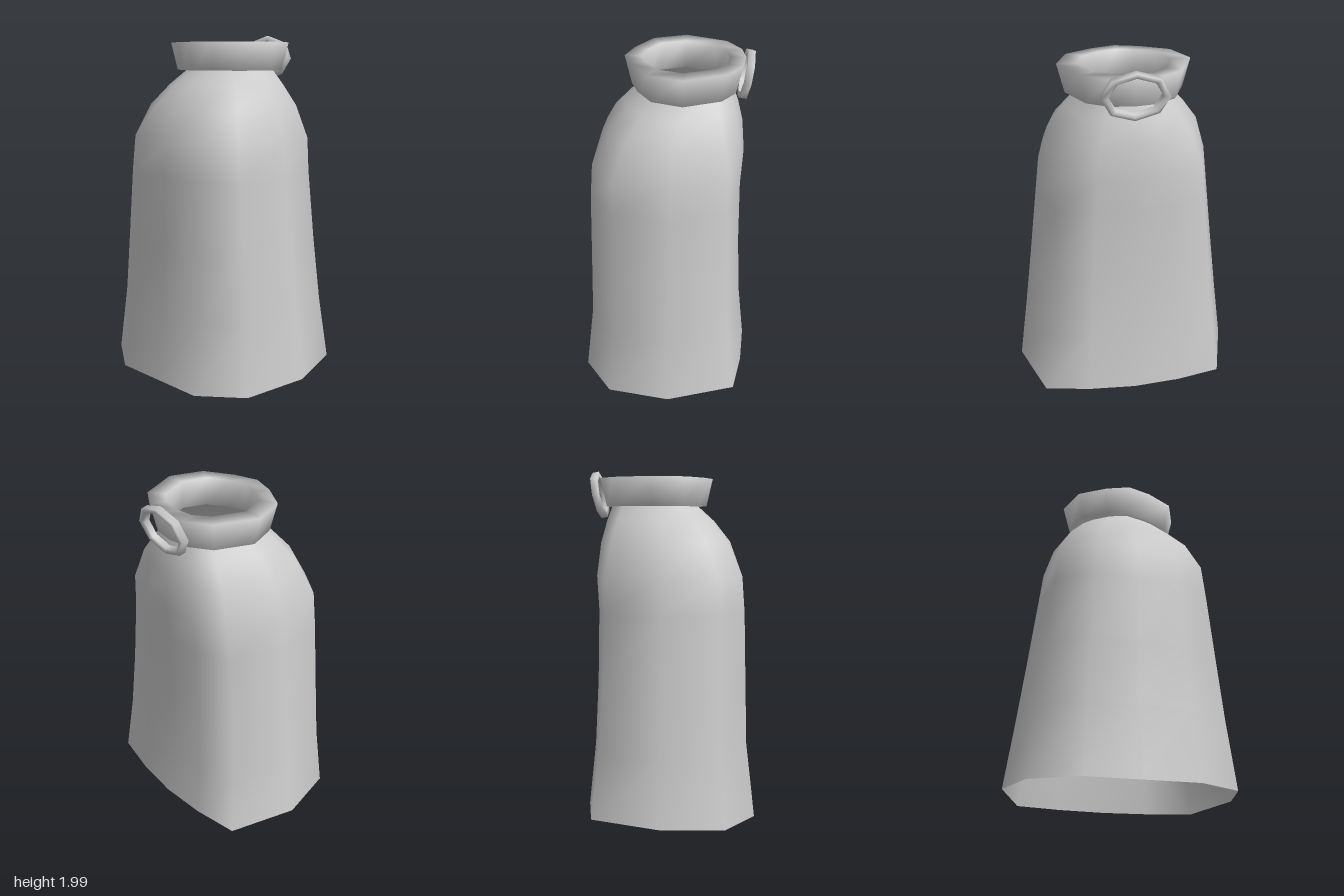
import * as THREE from 'three';

const material = new THREE.MeshStandardMaterial({ color: 0xcccccc, side: THREE.DoubleSide });

// Mirrors half a section (front point to back point) into a full loop.
function mirrorLoop(half) {
  return [...half, ...half.slice(1, -1).reverse().map(([x, z]) => [x, -z])];
}

// Joins equally long rings of [x, y, z] into one smooth surface.
function loft(name, rings, closed = false) {
  const n = rings[0].length;
  const index = [];
  const spans = closed ? rings.length : rings.length - 1;
  for (let r = 0; r < spans; r++) {
    const next = (r + 1) % rings.length;
    for (let i = 0; i < n; i++) {
      const j = (i + 1) % n;
      const a = r * n + i, b = r * n + j, c = next * n + i, d = next * n + j;
      index.push(a, c, b, b, c, d);
    }
  }
  const geometry = new THREE.BufferGeometry();
  geometry.setAttribute('position', new THREE.Float32BufferAttribute(rings.flat(2), 3));
  geometry.setIndex(index);
  geometry.computeVertexNormals();
  const mesh = new THREE.Mesh(geometry, material);
  mesh.name = name;
  return mesh;
}

// Open draped cloth: boxy up to the shoulders, then rounding into the neck.
function makeCloak() {
  const hem = mirrorLoop([[1, 0], [0.957, 0.41], [0.85, 0.81], [0, 1], [-0.68, 0.855], [-1, 0.47], [-1, 0]]);
  const shoulder = mirrorLoop([[1, 0], [0.96, 0.42], [0.79, 0.82], [0, 1], [-0.7, 0.89], [-1, 0.49], [-1, 0]]);
  const neck = mirrorLoop([[1, 0], [0.92, 0.43], [0.68, 0.73], [0, 1], [-0.62, 0.78], [-0.88, 0.39], [-1, 0]]);
  const shoulderY = 1.4, neckY = 1.8;
  // height, back x, front x, half width, x of the widest point
  const levels = [
    [0.05, -0.5, 0.493, 0.658, 0.03],
    [0.42, -0.45, 0.452, 0.608, 0.03],
    [0.8, -0.44, 0.433, 0.56, 0.03],
    [1.2, -0.43, 0.425, 0.512, 0.03],
    [1.4, -0.415, 0.437, 0.488, 0.03],
    [1.59, -0.345, 0.42, 0.43, 0.04],
    [1.71, -0.25, 0.39, 0.34, 0.06],
    [1.8, -0.15, 0.355, 0.255, 0.09],
  ];
  const rings = levels.map(([y, back, front, width, cx], level) => hem.map((point, i) => {
    const upper = y > shoulderY;
    const [u0, v0] = upper ? shoulder[i] : point;
    const [u1, v1] = upper ? neck[i] : shoulder[i];
    const t = upper ? (y - shoulderY) / (neckY - shoulderY) : y / shoulderY;
    const u = THREE.MathUtils.lerp(u0, u1, t);
    const v = THREE.MathUtils.lerp(v0, v1, t);
    const x = cx + (u > 0 ? u * (front - cx) : u * (cx - back));
    // the hem dips toward the back
    const dip = level === 0 && u < 0 ? 0.045 * -u : 0;
    return [x, y - dip, v * width];
  }));
  return loft('cloak', rings);
}

// Thick collar flaring upward around the neck opening.
function makeCollar() {
  const cx = 0.09;
  const outer = mirrorLoop([[0.335, 0], [0.315, 0.14], [0.23, 0.27], [0, 0.37], [-0.19, 0.3], [-0.285, 0.14], [-0.33, 0]]);
  const inner = mirrorLoop([[0.25, 0], [0.235, 0.11], [0.17, 0.19], [0, 0.26], [-0.14, 0.21], [-0.21, 0.1], [-0.24, 0]]);
  const ring = (loop, y, s) => loop.map(([x, z]) => [cx + x * s, y, z * s]);
  return loft('collar', [
    ring(outer, 1.795, 0.89), ring(outer, 1.955, 1), ring(inner, 1.955, 1), ring(inner, 1.795, 1),
  ], true);
}

// Eight-sided open ring leaning against the collar.
function makeClasp() {
  const profile = [[0.78, 0], [1, 0], [1, 0.038], [0.86, 0.042], [0.78, 0.03], [0.78, 0]]
    .map(([r, y]) => new THREE.Vector2(r, y));
  const clasp = new THREE.Mesh(new THREE.LatheGeometry(profile, 8), material);
  clasp.name = 'clasp';
  clasp.scale.set(0.135, 1, 0.183);
  clasp.rotation.z = THREE.MathUtils.degToRad(-101);
  clasp.position.set(0.41, 1.867, 0);
  return clasp;
}

export function createModel() {
  const model = new THREE.Group();
  model.name = 'cloak';
  model.add(makeCloak(), makeCollar(), makeClasp());
  return model;
}
